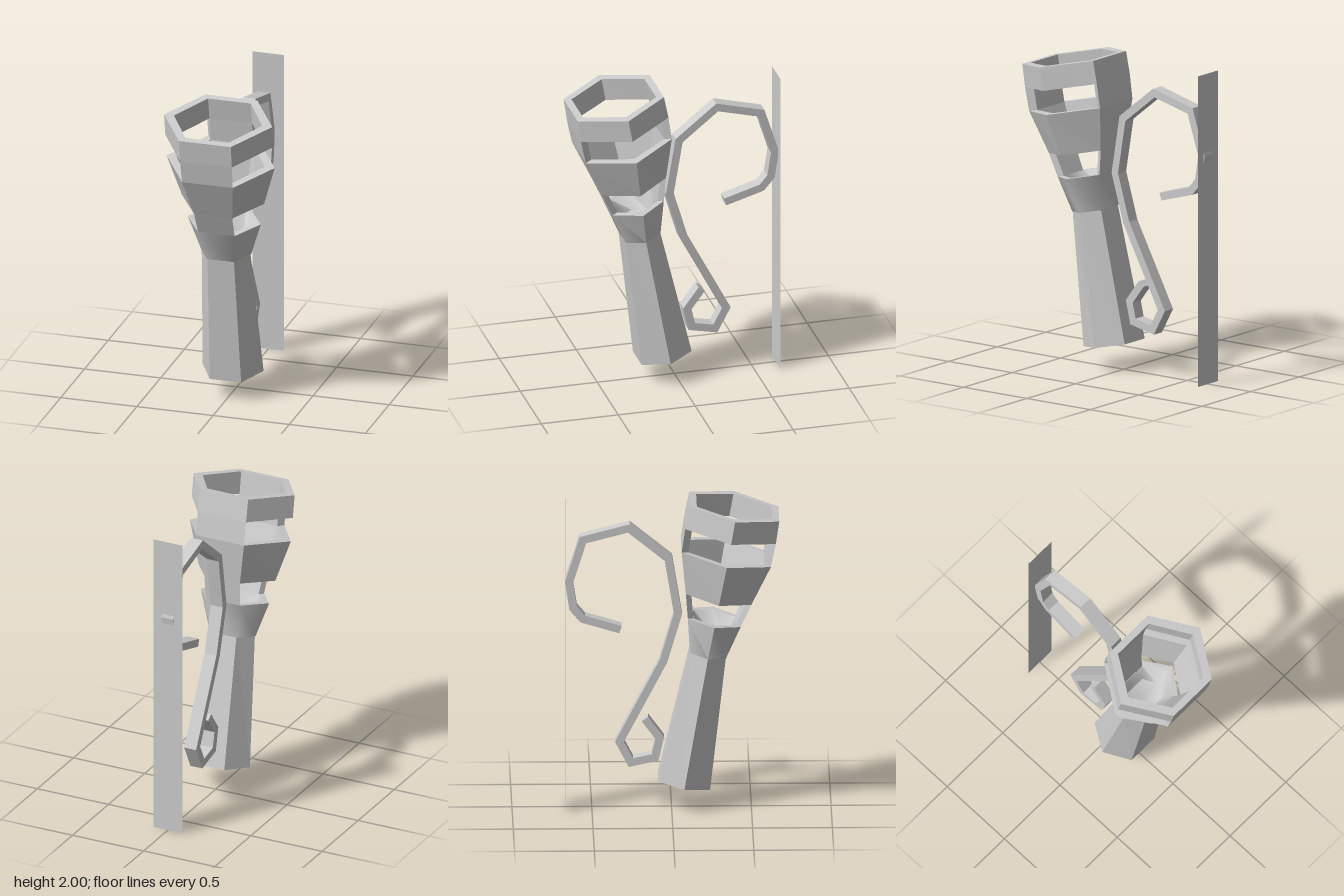
import * as THREE from 'three';
import { toCreasedNormals } from 'three/addons/utils/BufferGeometryUtils.js';

const grey = new THREE.MeshStandardMaterial({ color: 0xcccccc });

// Six-sided ring at height t: half-width to the side corners, half-width of front/back faces, depth
const hex = (t, side, face, depth) => [
  [side, 0], [face, depth], [-face, depth], [-side, 0], [-face, -depth], [face, -depth],
].map(([x, z]) => new THREE.Vector3(x, t, z));

// Four-sided ring for a flat strip on the front face
const strip = (t, outer, inner, depth, thick) => [
  [outer, depth], [-outer, depth], [-inner, depth - thick], [inner, depth - thick],
].map(([x, z]) => new THREE.Vector3(x, t, z));

// Joins rings with flat faces; either loops back to the first ring or caps both ends
function loft(rings, loop = false) {
  const pts = [];
  const n = rings[0].length;
  const last = loop ? rings.length : rings.length - 1;
  for (let r = 0; r < last; r++) {
    const a = rings[r], b = rings[(r + 1) % rings.length];
    for (let i = 0; i < n; i++) {
      const j = (i + 1) % n;
      pts.push(a[i], b[i], b[j], a[i], b[j], a[j]);
    }
  }
  if (!loop) {
    const a = rings[0], b = rings[rings.length - 1];
    for (let i = 1; i < n - 1; i++) pts.push(a[0], a[i], a[i + 1], b[0], b[i + 1], b[i]);
  }
  const geometry = new THREE.BufferGeometry().setFromPoints(pts);
  geometry.computeVertexNormals();
  return geometry;
}

// Thickens a polyline into a closed outline with mitred corners
function ribbon(path, width) {
  const p = path.map(([x, y]) => new THREE.Vector2(x, y));
  const left = [], right = [];
  p.forEach((q, i) => {
    const d0 = q.clone().sub(p[Math.max(i - 1, 0)]).normalize();
    const d1 = p[Math.min(i + 1, p.length - 1)].clone().sub(q).normalize();
    const d = d0.clone().add(d1).normalize();
    const ref = i === 0 ? d1 : d0;
    const m = new THREE.Vector2(-d.y, d.x).multiplyScalar(width / 2 / d.dot(ref));
    left.push(q.clone().add(m));
    right.unshift(q.clone().sub(m));
  });
  return new THREE.Shape([...left, ...right]);
}

function add(parent, name, geometry, material = grey) {
  const mesh = new THREE.Mesh(geometry, material);
  mesh.name = name;
  parent.add(mesh);
  return mesh;
}

export function createModel() {
  const model = new THREE.Group();

  // Torch, leaning forward ten degrees
  const torch = new THREE.Group();
  torch.name = 'torch';
  torch.position.set(0, 0.1625, 0.0775);
  torch.rotation.x = THREE.MathUtils.degToRad(10);
  model.add(torch);

  add(torch, 'handle', loft([hex(0, 0.2, 0.103, 0.165), hex(0.855, 0.16, 0.087, 0.114)]));

  // Lower cup with a shallow floor, softly shaded
  add(torch, 'lowerCup', toCreasedNormals(loft([
    hex(0.855, 0.165, 0.09, 0.114), hex(1.084, 0.24, 0.12, 0.168),
    hex(1.084, 0.19, 0.1, 0.132), hex(0.96, 0.12, 0.075, 0.085),
  ]), 1.15));

  // Open middle cup and top ring
  add(torch, 'middleCup', loft([
    hex(1.239, 0.27, 0.125, 0.208), hex(1.515, 0.355, 0.167, 0.284),
    hex(1.515, 0.29, 0.14, 0.24), hex(1.239, 0.22, 0.105, 0.172),
  ], true));
  add(torch, 'topRing', loft([
    hex(1.669, 0.355, 0.17, 0.288), hex(1.817, 0.355, 0.17, 0.284),
    hex(1.817, 0.29, 0.14, 0.24), hex(1.669, 0.29, 0.14, 0.243),
  ], true));

  // Strips joining the cups and ring, front and back
  const lowerStrip = loft([strip(1.084, 0.12, 0.1, 0.168, 0.034), strip(1.239, 0.125, 0.105, 0.208, 0.034)]);
  const upperStrip = loft([strip(1.515, 0.167, 0.14, 0.284, 0.044), strip(1.669, 0.17, 0.14, 0.288, 0.045)]);
  for (const [end, turn] of [['front', 0], ['back', Math.PI]]) {
    add(torch, end + 'LowerStrip', lowerStrip).rotation.y = turn;
    add(torch, end + 'UpperStrip', upperStrip).rotation.y = turn;
  }

  // Curled bracket, drawn as z and y, then extruded across x
  const curl = [
    [-0.32, 1.165], [-0.557, 1.235], [-0.617, 1.305], [-0.643, 1.472], [-0.555, 1.75],
    [-0.268, 1.825], [-0.02, 1.625], [0.04, 1.265], [-0.05, 0.96], [-0.327, 0.433],
    [-0.255, 0.297], [-0.103, 0.33], [-0.074, 0.455], [-0.167, 0.58],
  ];
  const width = 0.084;
  const bracket = new THREE.ExtrudeGeometry(ribbon(curl, 0.05), { depth: width, bevelEnabled: false });
  bracket.translate(0, 0, -width / 2).rotateY(-Math.PI / 2);
  add(model, 'bracket', bracket);

  // Thin wall plate
  const plateMaterial = new THREE.MeshStandardMaterial({ color: 0xcccccc, side: THREE.DoubleSide });
  add(model, 'wallPlate', new THREE.PlaneGeometry(0.206, 2), plateMaterial).position.set(0, 1, -0.662);

  return model;
}
